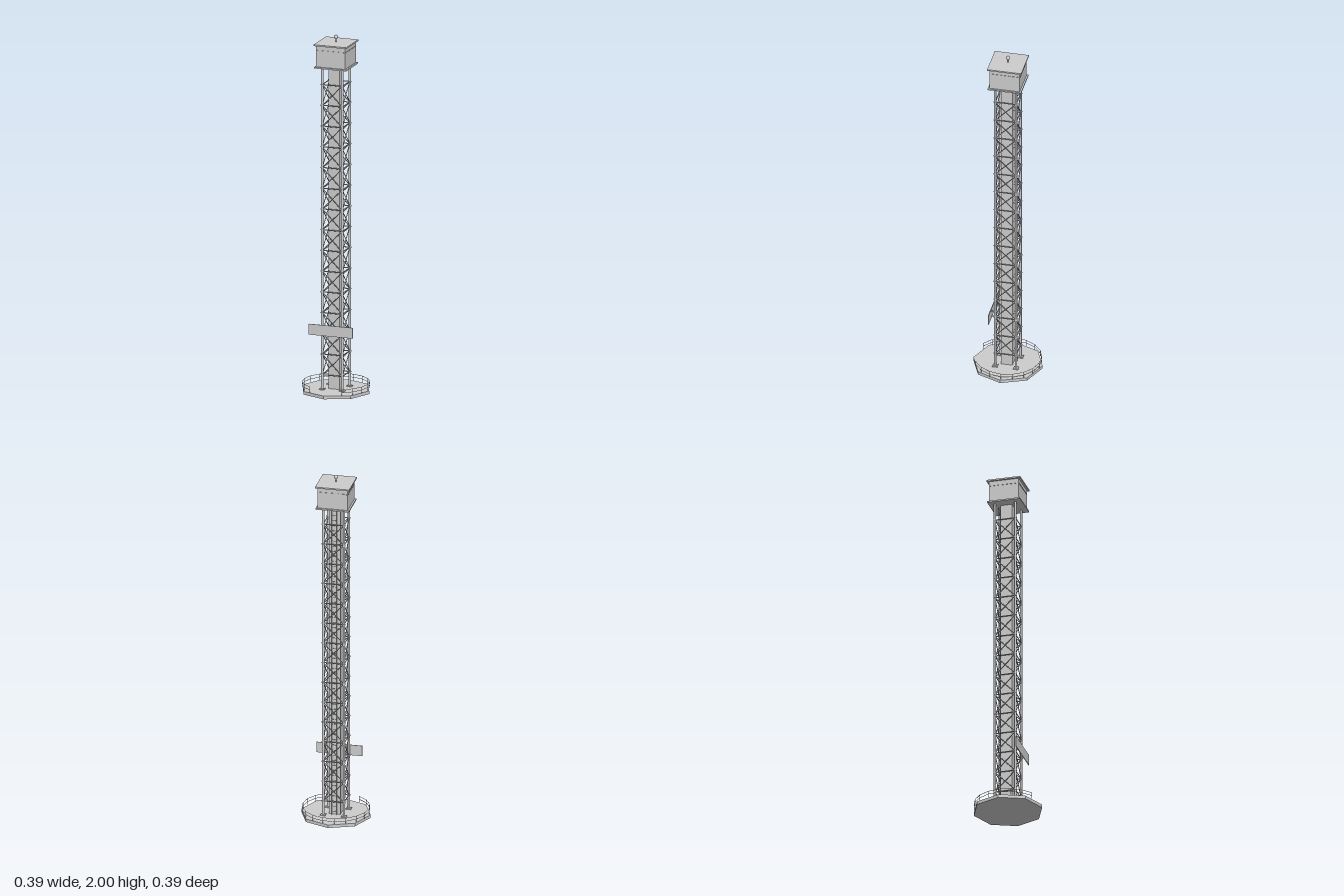
import * as THREE from 'three';

const steel = new THREE.MeshStandardMaterial({ color: 0xcccccc });
steel.name = 'light grey steel';

export function createModel() {
  const tower = new THREE.Group();
  tower.name = 'latticeTower';

  const group = (name) => {
    const g = new THREE.Group();
    g.name = name;
    tower.add(g);
    return g;
  };
  const add = (parent, name, geometry, x = 0, y = 0, z = 0) => {
    const m = new THREE.Mesh(geometry, steel);
    m.name = name;
    m.position.set(x, y, z);
    parent.add(m);
    return m;
  };
  const box = (parent, name, w, h, d, x, y, z) =>
    add(parent, name, new THREE.BoxGeometry(w, h, d), x, y, z);
  // Round bar between two points
  const bar = (parent, name, a, b, r, sides = 6) => {
    const p = new THREE.Vector3(...a), q = new THREE.Vector3(...b);
    const m = add(parent, name, new THREE.CylinderGeometry(r, r, p.distanceTo(q), sides));
    m.position.copy(p).add(q).multiplyScalar(0.5);
    m.quaternion.setFromUnitVectors(new THREE.Vector3(0, 1, 0), q.sub(p).normalize());
    return m;
  };

  const deck = 0.018, headFloor = 1.825, legAt = 0.058;

  // Eight-sided base
  const base = new THREE.CylinderGeometry(0.193, 0.193, deck, 8).toNonIndexed();
  base.computeVertexNormals();
  add(tower, 'basePlatform', base, 0, deck / 2, 0);

  // Guard rail around the base, open at the front
  const railing = group('baseRailing');
  const ring = (deg, y, r = 0.184) => {
    const a = THREE.MathUtils.degToRad(deg);
    return [r * Math.sin(a), y, r * Math.cos(a)];
  };
  for (const y of [0.036, 0.053])
    for (let d = 30; d < 330; d += 20)
      bar(railing, 'rail', ring(d, y), ring(d + 20, y), 0.0014, 5);
  for (let d = 30; d <= 330; d += 20)
    bar(railing, 'railPost', ring(d, deck), ring(d, 0.053), 0.0014, 5);

  // Corner legs with foot plates and bolted flanges
  const legs = group('legs');
  for (const sx of [-1, 1]) for (const sz of [-1, 1]) {
    const x = sx * legAt, z = sz * legAt;
    bar(legs, 'leg', [x, deck, z], [x, headFloor, z], 0.0065, 10);
    box(legs, 'footPlate', 0.028, 0.005, 0.028, x, deck + 0.0025, z);
    for (let y = 0.1; y < 1.8; y += 0.1164)
      add(legs, 'flange', new THREE.CylinderGeometry(0.0085, 0.0085, 0.006, 10), x, y, z);
  }

  // Cross bracing on all four sides
  const step = 0.1164, first = 0.1, panels = 14;
  for (let side = 0; side < 4; side++) {
    const face = group('bracing');
    face.rotation.y = side * Math.PI / 2;
    for (let i = 0; i <= panels; i++) {
      const y = first + i * step;
      bar(face, 'crossbar', [-legAt, y, legAt], [legAt, y, legAt], 0.003);
      if (i < panels) for (const s of [-1, 1])
        bar(face, 'diagonal', [-s * legAt, y, legAt], [s * legAt, y + step, legAt], 0.0024);
    }
  }

  // Central shaft
  box(tower, 'shaft', 0.064, headFloor - deck, 0.064, 0, (headFloor + deck) / 2, 0);

  // Ladder behind the shaft
  const ladder = group('ladder');
  for (const s of [-1, 1]) {
    bar(ladder, 'stile', [s * 0.014, deck, -0.047], [s * 0.014, headFloor, -0.047], 0.0015, 5);
    for (let y = 0.1; y < 1.8; y += 0.12)
      bar(ladder, 'standoff', [s * 0.014, y, -0.03], [s * 0.014, y, -0.047], 0.0012, 5);
  }
  for (let y = 0.04; y < 1.81; y += 0.03)
    bar(ladder, 'rung', [-0.014, y, -0.047], [0.014, y, -0.047], 0.0012, 5);

  // Blank board on brackets at the front
  const board = group('signBoard');
  box(board, 'panel', 0.256, 0.06, 0.004, 0, 0.355, 0.081);
  for (const s of [-1, 1]) for (const y of [0.338, 0.372])
    box(board, 'bracket', 0.005, 0.004, 0.024, s * legAt, y, 0.069);

  // Cabin with floor, roof and trim
  const cabin = group('cabin');
  box(cabin, 'cabinFloor', 0.186, 0.008, 0.186, 0, 1.829, 0);
  box(cabin, 'cabinWalls', 0.168, 0.12, 0.168, 0, 1.892, 0);
  box(cabin, 'cabinRoof', 0.19, 0.008, 0.19, 0, 1.955, 0);
  for (let side = 0; side < 4; side++) {
    const wall = new THREE.Group();
    wall.name = 'wallTrim';
    wall.rotation.y = side * Math.PI / 2;
    cabin.add(wall);
    for (const s of [-1, 0, 1])
      box(wall, 'trimStrip', 0.046, 0.004, 0.003, s * 0.054, 1.925, 0.085);
  }

  // Mast with a ball on top
  const mast = group('mast');
  bar(mast, 'pole', [0, 1.955, 0], [0, 1.985, 0], 0.003, 10);
  add(mast, 'ball', new THREE.SphereGeometry(0.0115, 16, 12), 0, 1.9885, 0);

  return tower;
}
